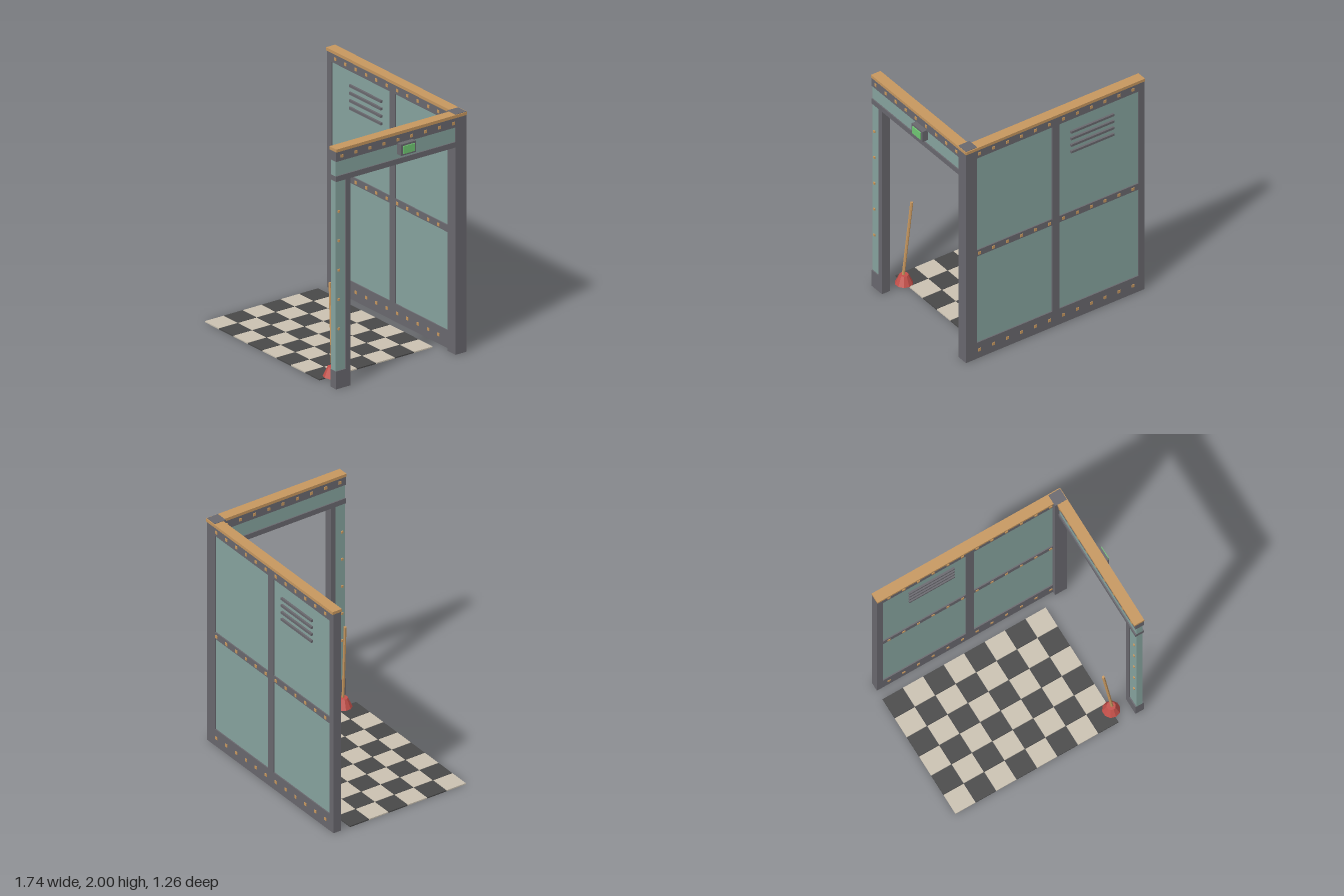
import * as THREE from 'three';

const mat = (name, color, extra = {}) => {
  const m = new THREE.MeshStandardMaterial({ color, ...extra });
  m.name = name;
  return m;
};

export function createModel() {
  const root = new THREE.Group();
  const teal = mat('tealPanel', 0x86a39e);
  const steel = mat('greySteel', 0x69686e);
  const wood = mat('tanWood', 0xc6975f);
  const light = mat('creamTile', 0xcac1b1);
  const dark = mat('darkTile', 0x484848);
  const red = mat('redRubber', 0xc4504a);
  const green = mat('greenLight', 0x70c873);

  // Box given by its lower and upper corners
  const box = (parent, name, m, x0, x1, y0, y1, z0, z1) => {
    const mesh = new THREE.Mesh(new THREE.BoxGeometry(x1 - x0, y1 - y0, z1 - z0), m);
    mesh.position.set((x0 + x1) / 2, (y0 + y1) / 2, (z0 + z1) / 2);
    mesh.name = name;
    parent.add(mesh);
  };
  const group = (name) => {
    const g = new THREE.Group();
    g.name = name;
    root.add(g);
    return g;
  };
  const S = 0.0125; // half the width of a stud

  // Back wall
  const back = group('backWall');
  const rail = (name, x0, x1, y0, y1) => box(back, name, steel, x0, x1, y0, y1, -0.625, -0.555);
  box(back, 'backPanel', teal, -0.84, 0.73, 0.1, 1.93, -0.615, -0.565);
  rail('bottomRail', -0.87, 0.72, 0, 0.148);
  rail('topRail', -0.87, 0.72, 1.895, 1.975);
  rail('middleRail', -0.82, 0.72, 0.966, 1.024);
  rail('leftStile', -0.87, -0.815, 0.148, 1.895);
  rail('centreStile', -0.07, 0, 0.148, 1.895);
  box(back, 'backCap', wood, -0.87, 0.815, 1.975, 2, -0.634, -0.546);
  for (const y of [0.077, 0.993, 1.934]) {
    for (let i = 0; i < 12; i++) {
      const x = -0.762 + i * 0.1318;
      box(back, 'wallStud', wood, x - S, x + S, y - S, y + S, -0.63, -0.55);
    }
  }
  for (let i = 0; i < 4; i++) {
    const y = 1.774 - i * 0.0622;
    box(back, 'ventSlat', steel, -0.582, -0.175, y - 0.01, y + 0.01, -0.632, -0.548);
  }

  // Corner post
  box(root, 'cornerPost', steel, 0.71, 0.815, 0, 2.003, -0.626, -0.523);

  // Side wall with doorway
  const side = group('doorWall');
  const frame = (name, y0, y1, z0, z1) => box(side, name, steel, 0.74, 0.815, y0, y1, z0, z1);
  frame('headerRail', 1.895, 1.975, -0.54, 0.63);
  frame('doorLintel', 1.728, 1.773, -0.54, 0.63);
  frame('doorJamb', 0.148, 1.728, 0.49, 0.535);
  frame('jambFoot', 0, 0.148, 0.49, 0.63);
  box(side, 'headerPanel', teal, 0.75, 0.805, 1.773, 1.895, -0.53, 0.63);
  box(side, 'jambPanel', teal, 0.75, 0.805, 0.148, 1.728, 0.53, 0.63);
  box(side, 'sideCap', wood, 0.73, 0.82, 1.975, 2, -0.626, 0.63);
  for (let i = 0; i < 9; i++) {
    const z = 0.573 - i * 0.134;
    box(side, 'headerStud', wood, 0.735, 0.82, 1.934 - S, 1.934 + S, z - S, z + S);
  }
  for (let i = 0; i < 5; i++) {
    const y = 0.495 + i * 0.245;
    box(side, 'jambStud', wood, 0.74, 0.815, y - 0.009, y + 0.009, 0.591, 0.609);
  }

  // Exit lamp above the doorway
  box(root, 'lampHousing', steel, 0.805, 0.858, 1.81, 1.905, -0.108, 0.036);
  box(root, 'lampGlass', green, 0.85, 0.867, 1.825, 1.889, -0.09, 0.018);

  // Checkered floor
  const floor = group('floor');
  const px = 1.467 / 8, pz = 1.097 / 6;
  for (let i = 0; i < 8; i++) {
    for (let j = 0; j < 6; j++) {
      const x = -0.87 + i * px, z = -0.47 + j * pz;
      box(floor, 'tile', (i + j) % 2 ? light : dark, x, x + px - 0.004, 0, 0.01, z, z + pz - 0.004);
    }
  }

  // Plunger
  const plunger = group('plunger');
  const cup = new THREE.Mesh(new THREE.CylinderGeometry(0.036, 0.072, 0.08, 10).toNonIndexed(), red);
  cup.geometry.computeVertexNormals();
  cup.name = 'plungerCup';
  cup.position.set(0.597, 0.05, 0.505);
  plunger.add(cup);
  const a = new THREE.Vector3(0.604, 0.07, 0.507), b = new THREE.Vector3(0.54, 0.763, 0.482);
  const dir = b.clone().sub(a);
  const stick = new THREE.Mesh(new THREE.CylinderGeometry(0.012, 0.012, dir.length(), 6).toNonIndexed(), wood);
  stick.geometry.computeVertexNormals();
  stick.name = 'plungerHandle';
  stick.position.copy(a).add(b).multiplyScalar(0.5);
  stick.quaternion.setFromUnitVectors(new THREE.Vector3(0, 1, 0), dir.normalize());
  plunger.add(stick);

  return root;
}
